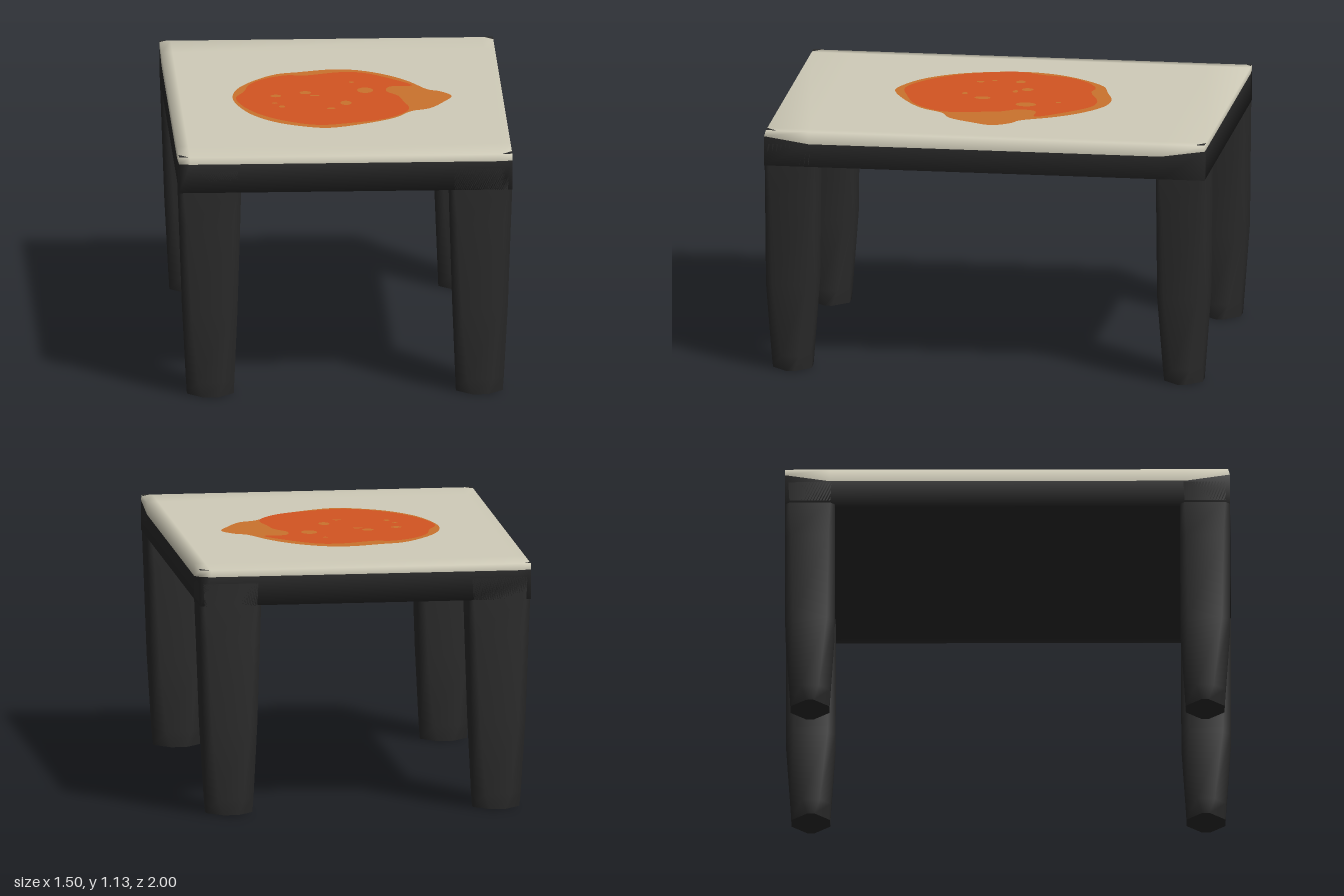
import * as THREE from 'three';
import { mergeVertices } from 'three/addons/utils/BufferGeometryUtils.js';

const mat = (name, color) => {
  const m = new THREE.MeshStandardMaterial({ color });
  m.name = name;
  return m;
};

const TOP = 1.122;

// Slab with soft shared normals; the upper band and top face are cream, the rest black
function slabGeometry() {
  const X = [-0.75, -0.7, 0.7, 0.75];
  const Z = [-1, -0.8, 0.8, 1];
  let g = new THREE.BoxGeometry(1, 1, 1, 3, 2, 3);
  g.deleteAttribute('uv');
  g.deleteAttribute('normal');
  g.clearGroups();
  g = mergeVertices(g, 1e-4);
  const p = g.attributes.position;
  const level = [];
  for (let i = 0; i < p.count; i++) {
    const ix = Math.round((p.getX(i) + 0.5) * 3);
    const iy = Math.round((p.getY(i) + 0.5) * 2);
    const iz = Math.round((p.getZ(i) + 0.5) * 3);
    const endX = ix === 0 || ix === 3;
    const endZ = iz === 0 || iz === 3;
    const seam = endX && endZ ? 1.095 : endZ ? 1.092 : 1.065;
    let z = Z[iz];
    if (iz === 3 && iy === 2) z -= 0.008;
    p.setXYZ(i, X[ix], [0.96, seam, TOP][iy], z);
    level.push(iy);
  }
  g.computeVertexNormals();
  const cream = [], black = [];
  const idx = g.index.array;
  for (let i = 0; i < idx.length; i += 3) {
    const t = [idx[i], idx[i + 1], idx[i + 2]];
    (t.every((v) => level[v] >= 1) ? cream : black).push(...t);
  }
  g.setIndex([...cream, ...black]);
  g.addGroup(0, cream.length, 0);
  g.addGroup(cream.length, black.length, 1);
  return g;
}

// Tapered leg lofted through rectangles with cut corners: [y, centreX, centreZ, halfX, halfZ, cut]
const LEG = [
  [0, 0.605, 0.888, 0.105, 0.087, 0.07],
  [0.07, 0.606, 0.888, 0.108, 0.09, 0.05],
  [0.4, 0.608, 0.888, 0.122, 0.111, 0.035],
  [0.8, 0.609, 0.888, 0.135, 0.112, 0.028],
  [0.97, 0.61, 0.888, 0.14, 0.112, 0.02],
  [1.06, 0.61, 0.888, 0.14, 0.112, 0.015],
];

function legGeometry(sx, sz) {
  const pos = [], index = [];
  const ring = ([y, cx, cz, a, b, c]) => {
    const pts = [[a, b - c], [a - c, b], [c - a, b], [-a, b - c], [-a, c - b], [c - a, -b], [a - c, -b], [a, c - b]];
    for (const [x, z] of pts) pos.push(sx * cx + x, y, sz * cz + z);
  };
  LEG.forEach(ring);
  for (let r = 0; r < LEG.length - 1; r++) {
    for (let i = 0; i < 8; i++) {
      const a = r * 8 + i, b = r * 8 + (i + 1) % 8;
      index.push(a, a + 8, b, b, a + 8, b + 8);
    }
  }
  // Flat foot with its own vertices
  const f = pos.length / 3;
  ring(LEG[0]);
  for (let i = 1; i < 7; i++) index.push(f, f + i, f + i + 1);
  const g = new THREE.BufferGeometry();
  g.setAttribute('position', new THREE.Float32BufferAttribute(pos, 3));
  g.setIndex(index);
  g.computeVertexNormals();
  return g;
}

// Smooth closed outline from plan points (x, z)
const outline = (pts) => {
  const curve = new THREE.CatmullRomCurve3(pts.map(([x, z]) => new THREE.Vector3(x, -z, 0)), true);
  return new THREE.Shape(curve.getPoints(pts.length * 4).slice(0, -1).map((v) => new THREE.Vector2(v.x, v.y)));
};

const SPLAT = [[0, -0.47], [0.12, -0.45], [0.25, -0.36], [0.34, -0.25], [0.42, -0.11], [0.47, -0.08], [0.52, 0],
  [0.48, 0.1], [0.41, 0.21], [0.33, 0.25], [0.25, 0.36], [0.1, 0.46], [-0.05, 0.52], [-0.12, 0.51], [-0.27, 0.43],
  [-0.38, 0.3], [-0.44, 0.15], [-0.465, 0], [-0.44, -0.15], [-0.36, -0.29], [-0.25, -0.4], [-0.15, -0.43]];
const DISC = [[-0.13, -0.36], [0.03, -0.41], [0.13, -0.4], [0.27, -0.28], [0.35, -0.17], [0.25, -0.16], [0.23, -0.08],
  [0.28, 0], [0.3, 0.1], [0.32, 0.2], [0.3, 0.28], [0.2, 0.39], [0.05, 0.45], [-0.1, 0.48], [-0.25, 0.4],
  [-0.36, 0.28], [-0.43, 0.13], [-0.45, 0], [-0.41, -0.1], [-0.38, -0.22], [-0.3, -0.32], [-0.2, -0.37]];
// Spots: x, z, radiusX, radiusZ
const SPOTS = [[0.08, -0.24, 0.012, 0.012], [0.135, -0.1, 0.036, 0.046], [-0.135, -0.07, 0.026, 0.026],
  [-0.095, -0.02, 0.022, 0.012], [-0.27, -0.02, 0.024, 0.022], [0.04, 0.11, 0.025, 0.036],
  [-0.28, 0.1, 0.012, 0.012], [-0.25, 0.16, 0.014, 0.018], [-0.03, 0.2, 0.02, 0.013]];

export function createModel() {
  const cream = mat('cream', 0xd0ccb9);
  const black = mat('black', 0x2b2b2b);
  const amber = mat('amber', 0xcb732d);
  const orange = mat('orange', 0xd35522);

  const table = new THREE.Group();
  table.name = 'table';
  const add = (name, geometry, material) => {
    const m = new THREE.Mesh(geometry, material);
    m.name = name;
    table.add(m);
    return m;
  };
  const addFlat = (name, shape, material, y) => {
    const m = add(name, new THREE.ShapeGeometry(shape), material);
    m.rotation.x = -Math.PI / 2;
    m.position.y = y;
  };

  add('tableTop', slabGeometry(), [cream, black]);

  for (const sz of [1, -1]) {
    for (const sx of [1, -1]) {
      const corner = (sz > 0 ? 'front' : 'back') + (sx > 0 ? 'Left' : 'Right');
      add(corner + 'Leg', legGeometry(sx, sz), black);
      // Worn dark corner
      const d = sz < 0 && sx < 0 ? 0.03 : 0.045;
      const x = sx * 0.75, z = sz > 0 ? 0.992 : -1;
      const tri = [[x, -z], [x - sx * d, -z], [x, -z + sz * d]];
      addFlat(corner + 'CornerMark', new THREE.Shape(tri.map(([a, b]) => new THREE.Vector2(a, b))), black, TOP + 0.002);
    }
  }

  // Painted splat: amber base with an orange disc whose holes form the spots
  addFlat('splatBase', outline(SPLAT), amber, TOP + 0.003);
  const disc = outline(DISC);
  for (const [x, z, rx, rz] of SPOTS) {
    const hole = new THREE.Path();
    hole.absellipse(x, -z, rx, rz, 0, Math.PI * 2, true, 0);
    disc.holes.push(hole);
  }
  addFlat('splatDisc', disc, orange, TOP + 0.006);
  return table;
}
